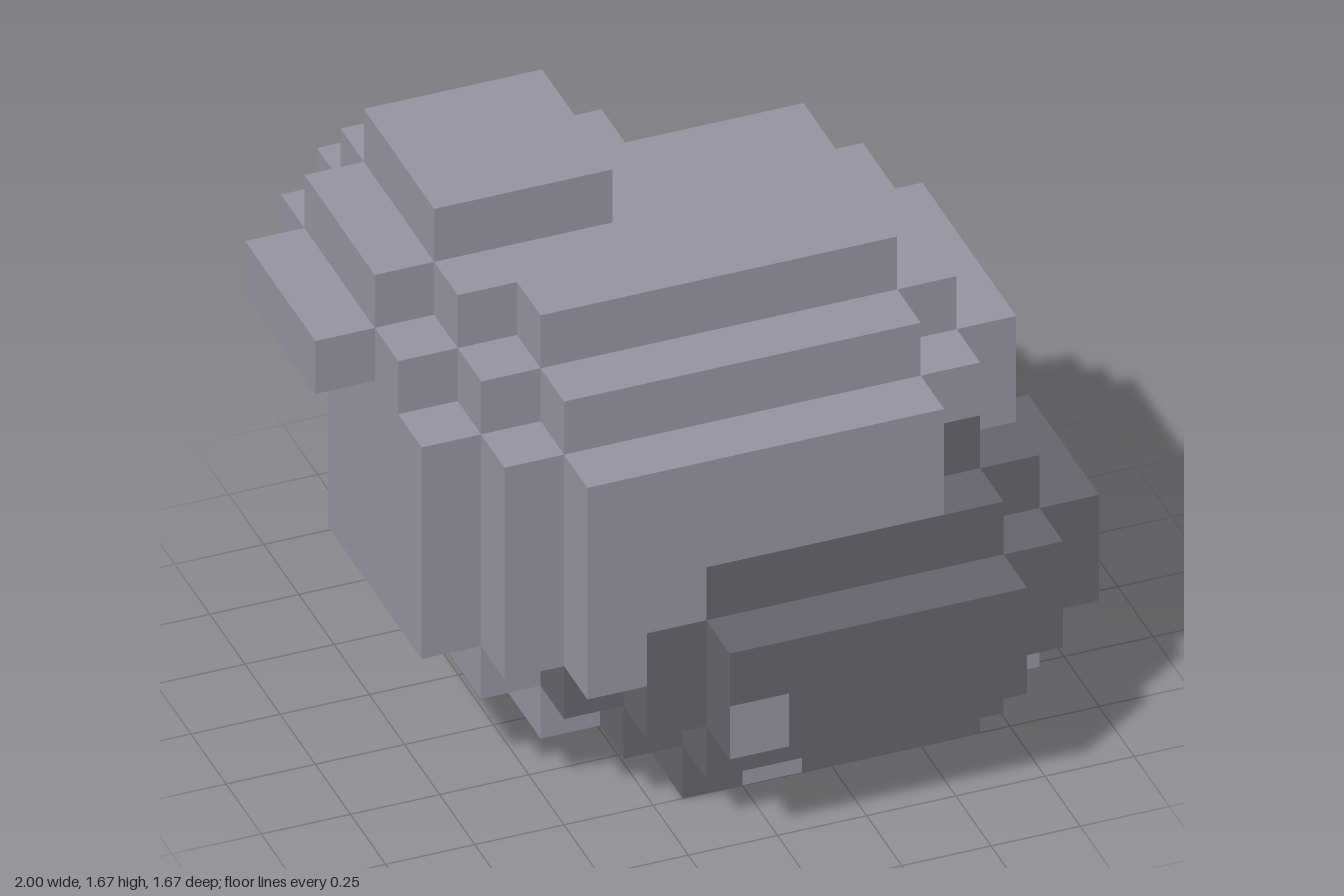
import * as THREE from 'three';
import { mergeGeometries } from 'three/addons/utils/BufferGeometryUtils.js';

const UNIT = 1 / 6; // edge of one block
const STEPS = 2;    // number of terraces around each lobe

// Each lobe is a core box (in blocks) surrounded by stepped terraces.
// Where lobes share a surface, the earlier one in this list shows.
const LOBES = [
  { name: 'lowerBoulder', colour: 'dark', min: [-1, 2, 0], max: [4, 4, 3] },
  { name: 'upperBoulder', colour: 'pale', min: [-4, 7, -3], max: [-1, 8, 0] },
  { name: 'mainBoulder', colour: 'pale', min: [-3, 3, -2], max: [3, 7, 2] },
];

// Pale flecks on the dark lobe: block position and side.
const FLECKS = new Set([
  '-1,2,4,front',
  '0,0,2,front', '0,0,2,bottom', '0,0,0,back',
  '4,1,2,front', '4,1,2,left',
  '4,4,0,left',
]);

const SIDES = [
  { name: 'left', dir: [1, 0, 0], rot: [0, Math.PI / 2, 0] },
  { name: 'right', dir: [-1, 0, 0], rot: [0, -Math.PI / 2, 0] },
  { name: 'top', dir: [0, 1, 0], rot: [-Math.PI / 2, 0, 0] },
  { name: 'bottom', dir: [0, -1, 0], rot: [Math.PI / 2, 0, 0] },
  { name: 'front', dir: [0, 0, 1], rot: [0, 0, 0] },
  { name: 'back', dir: [0, 0, -1], rot: [0, Math.PI, 0] },
];

// A block belongs to a lobe when its total step distance from the core is small.
function inLobe(lobe, p) {
  let steps = 0;
  for (let i = 0; i < 3; i++) {
    steps += Math.max(lobe.min[i] - p[i], p[i] + 1 - lobe.max[i], 0);
  }
  return steps <= STEPS;
}

// One outward-facing square on a side of a block.
function blockFace(p, side) {
  const face = new THREE.PlaneGeometry(UNIT, UNIT);
  face.rotateX(side.rot[0]).rotateY(side.rot[1]);
  const c = p.map((v, i) => (v + 0.5 + side.dir[i] / 2) * UNIT);
  return face.translate(c[0], c[1], c[2]);
}

export function createModel() {
  const materials = {
    pale: new THREE.MeshStandardMaterial({ color: 0x9493a0 }),
    dark: new THREE.MeshStandardMaterial({ color: 0x65646c }),
  };
  materials.pale.name = 'paleStone';
  materials.dark.name = 'darkStone';

  const parts = { paleFlecks: { colour: 'pale', faces: [] } };
  for (const lobe of LOBES) parts[lobe.name] = { colour: lobe.colour, faces: [] };

  // Keep only the exposed faces of the joined lobes.
  for (let x = -6; x < 6; x++) {
    for (let y = 0; y < 10; y++) {
      for (let z = -5; z < 5; z++) {
        const p = [x, y, z];
        const owner = LOBES.find((lobe) => inLobe(lobe, p));
        if (!owner) continue;
        for (const side of SIDES) {
          const next = p.map((v, i) => v + side.dir[i]);
          if (LOBES.some((lobe) => inLobe(lobe, next))) continue;
          const fleck = FLECKS.has([x, y, z, side.name].join());
          parts[fleck ? 'paleFlecks' : owner.name].faces.push(blockFace(p, side));
        }
      }
    }
  }

  const group = new THREE.Group();
  group.name = 'boulder';
  for (const [name, part] of Object.entries(parts)) {
    const mesh = new THREE.Mesh(mergeGeometries(part.faces), materials[part.colour]);
    mesh.name = name;
    group.add(mesh);
  }
  return group;
}
